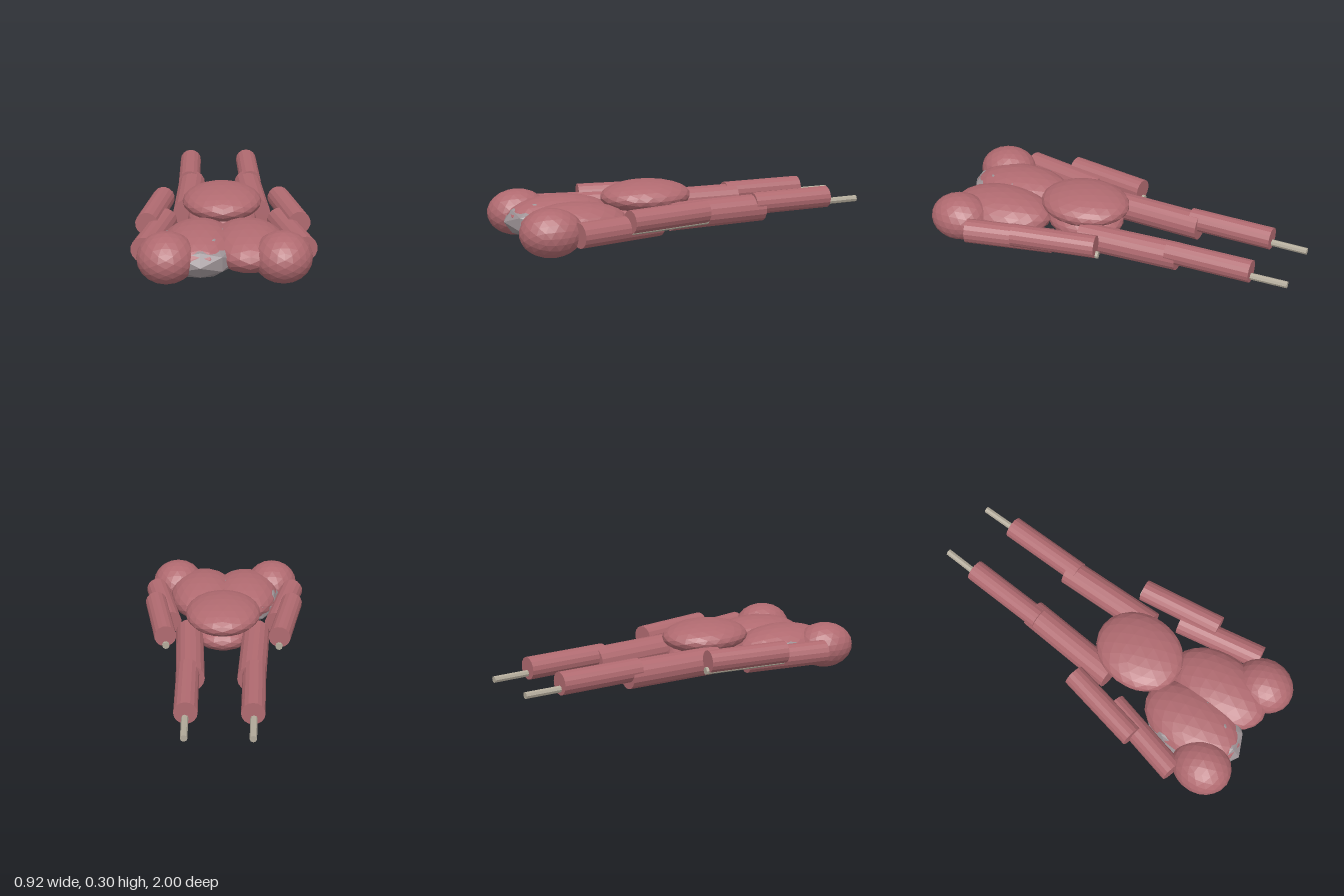
import * as THREE from 'three';

const flat = (name, color) => {
  const m = new THREE.MeshStandardMaterial({ color, flatShading: true });
  m.name = name;
  return m;
};

export function createModel() {
  const group = new THREE.Group();
  const flesh = flat('flesh', 0xb06a70);
  const grey = flat('ribGrey', 0x9c9295);
  const bone = flat('bone', 0xb3ab9b);

  // faceted ellipsoid
  const blob = (name, mat, centre, radii, detail = 3) => {
    const mesh = new THREE.Mesh(new THREE.IcosahedronGeometry(1, detail), mat);
    mesh.name = name;
    mesh.position.set(...centre);
    mesh.scale.set(...radii);
    group.add(mesh);
  };

  // round bar between two points
  const up = new THREE.Vector3(0, 1, 0);
  const bar = (name, mat, from, to, radius, sides = 16) => {
    const a = new THREE.Vector3(...from), b = new THREE.Vector3(...to);
    const dir = b.clone().sub(a);
    const mesh = new THREE.Mesh(new THREE.CylinderGeometry(radius, radius, dir.length(), sides), mat);
    mesh.name = name;
    mesh.position.copy(a).add(b).multiplyScalar(0.5);
    mesh.quaternion.setFromUnitVectors(up, dir.normalize());
    group.add(mesh);
  };

  // torso
  blob('upperAbdomen', flesh, [0, 0.222, 0.21], [0.207, 0.084, 0.248]);
  blob('lowerAbdomen', flesh, [0, 0.125, 0.21], [0.18, 0.085, 0.215]);
  blob('ribCore', grey, [-0.118, 0.12, 0.665], [0.21, 0.117, 0.295], 1);

  for (const [side, s] of [['left', 1], ['right', -1]]) {
    // chest and shoulder
    blob(side + 'Chest', flesh, [s * 0.12, 0.133, 0.655], [0.19, 0.108, 0.285]);
    blob(side + 'Shoulder', flesh, [s * 0.28, 0.133, 0.835], [0.145, 0.124, 0.163]);
    // arm
    bar(side + 'UpperArm', flesh, [s * 0.395, 0.133, 0.73], [s * 0.297, 0.133, 0.265], 0.065);
    bar(side + 'Forearm', flesh, [s * 0.387, 0.175, 0.455], [s * 0.309, 0.175, 0.005], 0.06);
    bar(side + 'ForearmBone', bone, [s * 0.385, 0.125, 0.45], [s * 0.306, 0.125, -0.01], 0.02, 8);
    // leg
    bar(side + 'Thigh', flesh, [s * 0.183, 0.134, 0.15], [s * 0.158, 0.134, -0.4], 0.075);
    bar(side + 'Shin', flesh, [s * 0.172, 0.16, -0.345], [s * 0.165, 0.16, -0.805], 0.06);
    bar(side + 'ShinBone', bone, [s * 0.176, 0.133, -0.4], [s * 0.165, 0.133, -1], 0.018, 8);
  }
  return group;
}
